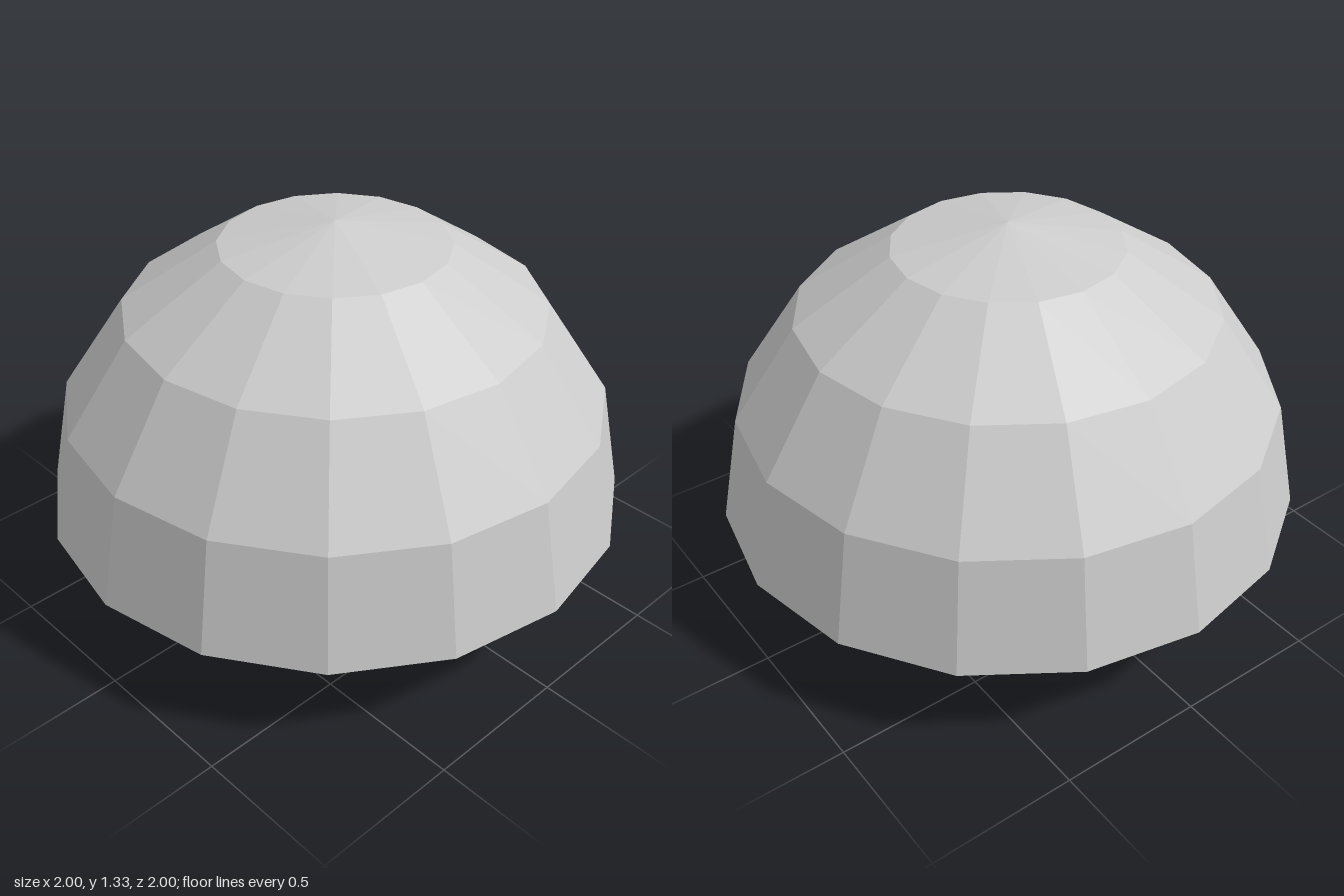
import * as THREE from 'three';

export function createModel() {
  const model = new THREE.Group();
  const grey = new THREE.MeshStandardMaterial({ color: 0xcccccc, side: THREE.DoubleSide, flatShading: true });
  grey.name = 'pale grey';

  const add = (name, geometry, x = 0, y = 0, z = 0) => {
    const mesh = new THREE.Mesh(geometry, grey);
    mesh.name = name;
    mesh.position.set(x, y, z);
    model.add(mesh);
    return mesh;
  };
  // Box given by its limits on each axis
  const box = (name, x0, x1, y0, y1, z0, z1) =>
    add(name, new THREE.BoxGeometry(x1 - x0, y1 - y0, z1 - z0), (x0 + x1) / 2, (y0 + y1) / 2, (z0 + z1) / 2);
  // Plate running the length of the stall, between two points of its section
  const slope = (name, x0, x1, [z0, y0], [z1, y1], thick = 0.008) => {
    const plate = add(name, new THREE.BoxGeometry(x1 - x0, thick, Math.hypot(z1 - z0, y1 - y0)),
      (x0 + x1) / 2, (y0 + y1) / 2, (z0 + z1) / 2);
    plate.rotation.x = -Math.atan2(y1 - y0, z1 - z0);
  };

  // Open faceted canopy
  add('canopy', new THREE.SphereGeometry(1, 16, 4, 0, Math.PI * 2, 0, Math.PI / 2), 0, 0.33, 0);

  // Counter with shaped end panels
  const profile = new THREE.Shape([[-0.15, 0.02], [0.23, 0.02], [0.3, 0.07], [0.38, 0.24], [-0.15, 0.24]]
    .map(([x, y]) => new THREE.Vector2(x, y)));
  for (const x of [-0.54, 0.452]) {
    const panel = add('endPanel', new THREE.ExtrudeGeometry(profile, { depth: 0.008, bevelEnabled: false }), x, 0, 0);
    panel.rotation.y = Math.PI / 2;
  }
  box('frontPanel', -0.54, 0.46, 0.02, 0.24, 0.142, 0.15);
  slope('backPanel', -0.54, 0.46, [-0.38, 0.24], [-0.345, 0.165]);
  slope('backLip', -0.54, 0.46, [-0.3, 0.07], [-0.23, 0.02]);
  box('counterTrim', 0.24, 0.46, 0.22, 0.24, 0.14, 0.16);

  // Front awning with two hanging boards
  slope('awning', -0.54, 0.46, [0.15, 0.125], [0.37, 0.15]);
  box('awningEdge', -0.54, 0.46, 0.15, 0.168, 0.15, 0.17);
  box('awningLip', -0.54, 0.46, 0.142, 0.154, 0.355, 0.375);
  for (const x of [-0.54, 0.09]) {
    box('hangingBoard', x, x + 0.37, 0.02, 0.07, 0.36, 0.385);
    for (const dx of [0.035, 0.335])
      box('boardHanger', x + dx - 0.006, x + dx + 0.006, 0.07, 0.15, 0.367, 0.379);
  }

  // Supports
  box('leftSupport', 0.46, 0.5, 0, 0.2, -0.05, 0.06);
  box('rightSupport', -0.5, -0.37, 0, 0.15, -0.05, 0.06);

  // Pointed ornaments on the front and the left end
  const frontOrnament = add('frontOrnament', new THREE.OctahedronGeometry(1), -0.04, 0.08, 0.15);
  frontOrnament.scale.set(0.09, 0.06, 0.02);
  const endOrnament = add('endOrnament', new THREE.OctahedronGeometry(1), 0.46, 0.08, -0.065);
  endOrnament.scale.set(0.02, 0.06, 0.065);

  // Fittings above the counter
  box('tallPanel', -0.54, -0.25, 0.17, 0.55, 0.14, 0.15);
  box('midPanel', -0.25, 0.3, 0.24, 0.4, 0.13, 0.14);
  box('shelf', 0.28, 0.48, 0.335, 0.345, -0.05, 0.08);
  box('shelfSide', 0.3, 0.36, 0.24, 0.335, -0.05, 0.14);
  slope('frontHood', -0.25, 0.3, [0.26, 0.25], [0.2, 0.17]);
  box('hoodFront', -0.25, 0.3, 0.25, 0.38, 0.252, 0.26);
  box('backBoard', -0.42, 0.12, 0.58, 0.78, 0.14, 0.15);
  for (const y of [0.62, 0.76]) box('frameRail', -0.54, -0.3, y, y + 0.02, -0.06, 0.04);
  for (const x of [-0.54, -0.3]) box('framePost', x - 0.008, x + 0.008, 0.24, 0.78, -0.06, -0.044);
  box('centrePost', -0.02, 0.01, 0.3, 0.8, 0, 0.03);

  // Faceted goods standing behind the counter
  [[0.04, 0.26, -0.02, 0.12], [-0.12, 0.3, -0.1, 0.1], [0.14, 0.31, -0.14, 0.09], [-0.02, 0.28, -0.17, 0.08]]
    .forEach(([x, y, z, r], i) => {
      const item = add('goods', new THREE.OctahedronGeometry(r), x, y, z);
      item.rotation.set(0.4 * i, 0.7 * i + 0.3, 0.3);
    });
  return model;
}
